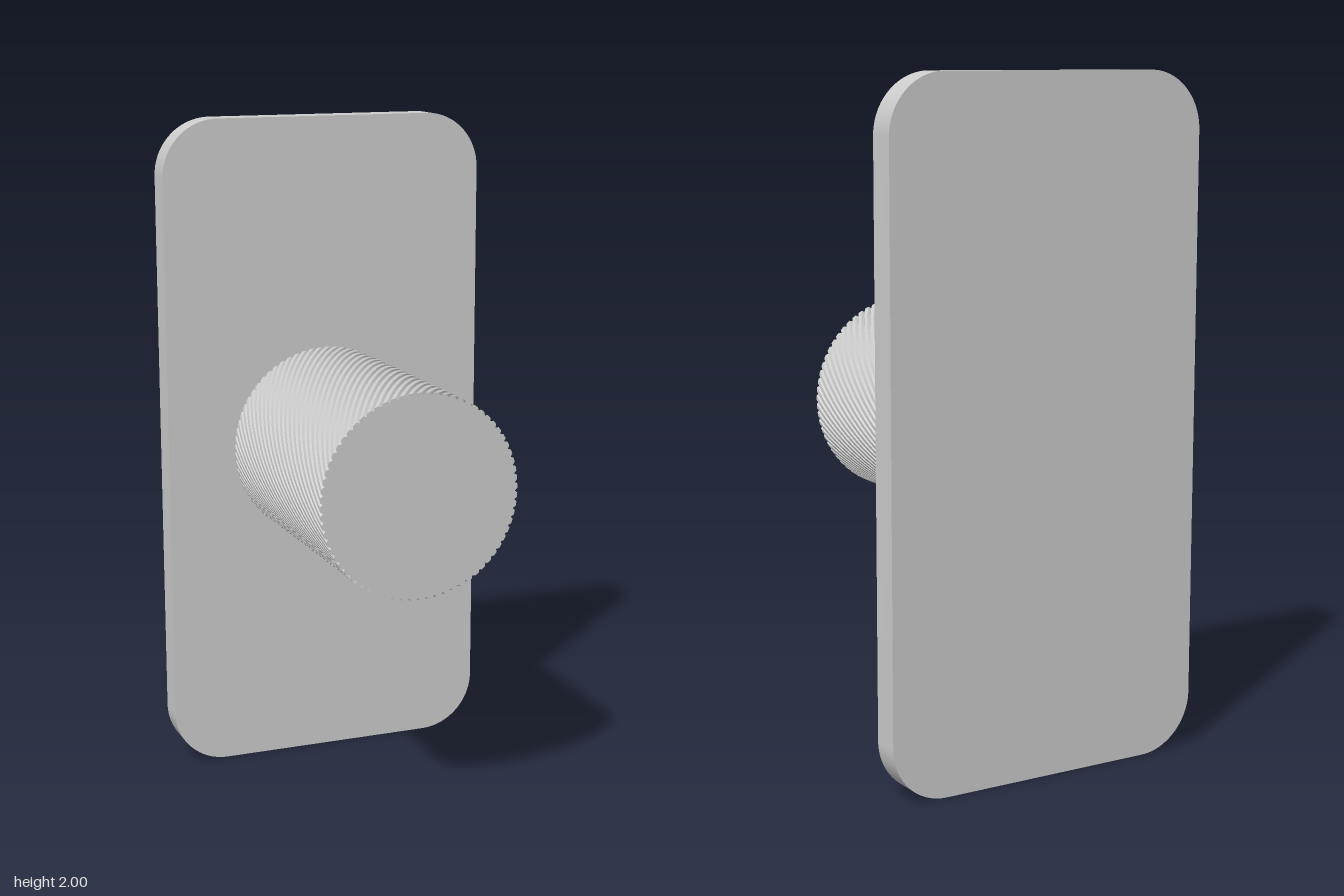
import * as THREE from 'three';
import { toCreasedNormals } from 'three/addons/utils/BufferGeometryUtils.js';

const material = new THREE.MeshStandardMaterial({ color: 0xcccccc });

// Upright plate with rounded corners
function createPlate() {
  const w = 0.505, h = 1, r = 0.17, depth = 0.086;
  const shape = new THREE.Shape();
  shape.absarc(w - r, h - r, r, 0, Math.PI / 2);
  shape.absarc(-w + r, h - r, r, Math.PI / 2, Math.PI);
  shape.absarc(-w + r, -h + r, r, Math.PI, Math.PI * 1.5);
  shape.absarc(w - r, -h + r, r, Math.PI * 1.5, Math.PI * 2);
  shape.closePath();
  const geometry = new THREE.ExtrudeGeometry(shape, { depth, bevelEnabled: false, curveSegments: 16 });
  const plate = new THREE.Mesh(toCreasedNormals(geometry, 0.6), material);
  plate.name = 'wallPlate';
  plate.position.set(0, 1, -0.42);
  return plate;
}

// Round knob whose side is cut by twisted V grooves
function createKnob() {
  const radius = 0.298, length = 0.748, grooves = 72, depth = 0.008, twist = 1.7;
  const geometry = new THREE.CylinderGeometry(radius, radius, length, grooves * 4, 40);
  geometry.rotateX(Math.PI / 2);
  const p = geometry.attributes.position;
  for (let i = 0; i < p.count; i++) {
    const x = p.getX(i), y = p.getY(i), z = p.getZ(i);
    if (Math.hypot(x, y) < 0.01) continue; // cap centres stay put
    const angle = Math.atan2(y, x);
    const r = radius - depth * Math.max(0, Math.cos(angle * grooves));
    const turned = angle + twist * z / length;
    p.setXY(i, r * Math.cos(turned), r * Math.sin(turned));
  }
  const knob = new THREE.Mesh(toCreasedNormals(geometry, 0.3), material);
  knob.name = 'knurledKnob';
  knob.position.set(0, 1, 0.42 - length / 2);
  return knob;
}

export function createModel() {
  const model = new THREE.Group();
  model.name = 'knobOnPlate';
  model.add(createPlate(), createKnob());
  return model;
}
